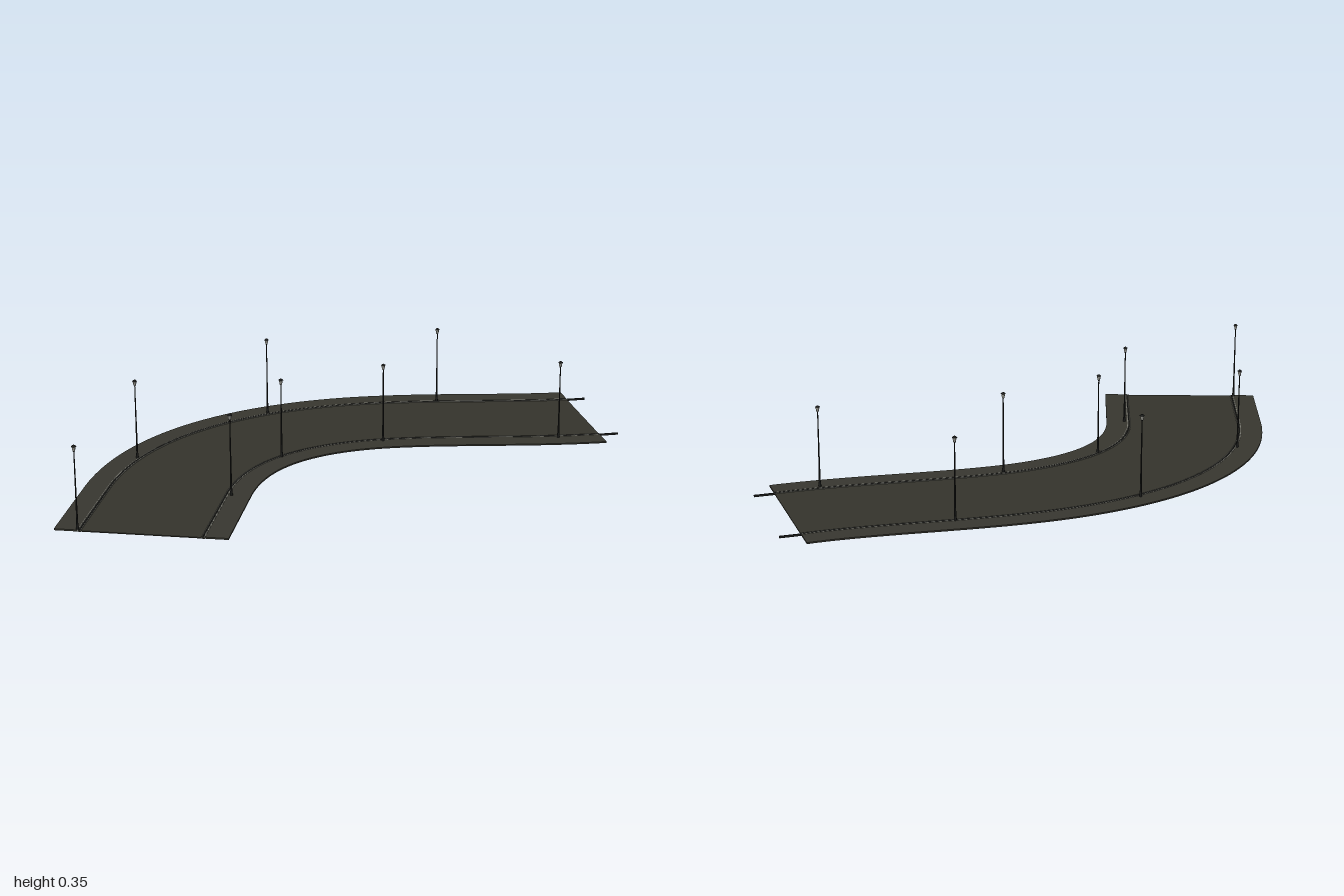
import * as THREE from 'three';
import { toCreasedNormals } from 'three/addons/utils/BufferGeometryUtils.js';

const mat = (name, color, side = THREE.FrontSide) => {
  const m = new THREE.MeshStandardMaterial({ color, side });
  m.name = name;
  return m;
};

// Centre line: straight, wide bend, then a gentle S
function makeFrames(count) {
  const v = (x, z) => new THREE.Vector3(x, 0, z);
  const path = new THREE.CurvePath();
  path.add(new THREE.LineCurve3(v(-0.675, 0.92), v(-0.675, 0.5)));
  path.add(new THREE.CubicBezierCurve3(v(-0.675, 0.5), v(-0.675, -0.1), v(-0.237, -0.322), v(-0.03, -0.397)));
  path.add(new THREE.CubicBezierCurve3(v(-0.03, -0.397), v(0.252, -0.499), v(0.568, -0.523), v(0.85, -0.625)));
  const up = new THREE.Vector3(0, 1, 0);
  const frames = [];
  for (let i = 0; i <= count; i++) {
    const u = i / count;
    const p = path.getPointAt(u);
    const t = path.getTangentAt(u).normalize();
    p.y = 0.002 + 0.012 * Math.sin(Math.PI * u); // low crest half way
    frames.push({ p, t, r: new THREE.Vector3().crossVectors(t, up) });
  }
  return frames;
}

// Sweeps a rectangle (offsets a..b across, heights lo..hi) along the frames
function sweep(frames, a, b, lo, hi) {
  const profile = [[a, lo], [b, lo], [b, hi], [a, hi]];
  const pos = [], idx = [];
  for (const { p, r } of frames)
    for (const [o, h] of profile) pos.push(p.x + r.x * o, p.y + h, p.z + r.z * o);
  for (let i = 0; i < frames.length - 1; i++)
    for (let j = 0; j < 4; j++) {
      const k = (j + 1) % 4, m = i * 4, n = m + 4;
      idx.push(m + j, n + j, n + k, m + j, n + k, m + k);
    }
  const e = (frames.length - 1) * 4;
  idx.push(0, 1, 2, 0, 2, 3, e, e + 2, e + 1, e, e + 3, e + 2);
  const g = new THREE.BufferGeometry();
  g.setAttribute('position', new THREE.Float32BufferAttribute(pos, 3));
  g.setIndex(idx);
  return toCreasedNormals(g, 0.5);
}

export function createModel() {
  const group = new THREE.Group();
  const asphalt = mat('asphalt', 0x34332b);
  const paving = mat('paving', 0x37362f);
  const stone = mat('kerbStone', 0x77776f);
  const iron = mat('iron', 0x1c1d1c);
  const glass = mat('lampGlass', 0x9a9a92);

  const add = (parent, name, geometry, material, y = 0) => {
    const m = new THREE.Mesh(geometry, material);
    m.name = name;
    m.position.y = y;
    parent.add(m);
    return m;
  };

  const frames = makeFrames(72);
  const last = frames[frames.length - 1];
  const tip = { ...last, p: last.p.clone().addScaledVector(last.t, 0.08) };
  const longFrames = [...frames, tip];

  // Roadway, pavements and kerbs
  add(group, 'roadway', sweep(frames, -0.23, 0.23, 0, 0.004), asphalt);
  for (const [side, s] of [['outer', -1], ['inner', 1]]) {
    const strip = (list, a, b, lo, hi) => sweep(list, Math.min(a * s, b * s), Math.max(a * s, b * s), lo, hi);
    add(group, side + 'Pavement', strip(frames, 0.23, 0.325, 0, 0.006), paving);
    add(group, side + 'KerbCore', strip(longFrames, 0.2285, 0.2325, -0.002, 0.0065), iron);
    add(group, side + 'KerbRoadEdge', strip(frames, 0.2235, 0.2265, -0.0005, 0.0072), stone);
    add(group, side + 'KerbPavementEdge', strip(frames, 0.2345, 0.2375, -0.0005, 0.0072), stone);
  }

  // Street lamps on both pavements
  const geo = {
    foot: new THREE.CylinderGeometry(0.0045, 0.006, 0.02, 8),
    lower: new THREE.CylinderGeometry(0.003, 0.004, 0.1, 8),
    upper: new THREE.CylinderGeometry(0.002, 0.003, 0.2, 8),
    collar: new THREE.CylinderGeometry(0.005, 0.003, 0.004, 8),
    glass: new THREE.CylinderGeometry(0.008, 0.005, 0.016, 6),
    cap: new THREE.CylinderGeometry(0.003, 0.0105, 0.006, 6),
  };
  const spots = [
    [-0.913, 0.912], [-0.876, 0.17], [-0.467, -0.443], [0.22, -0.71],
    [-0.425, 0.51], [-0.31, 0.08], [0.062, -0.17], [0.763, -0.336],
  ];
  for (const [x, z] of spots) {
    const d = (f) => Math.hypot(f.p.x - x, f.p.z - z);
    const near = frames.reduce((a, b) => (d(b) < d(a) ? b : a));
    const lamp = new THREE.Group();
    lamp.name = 'streetLamp';
    lamp.position.set(x, near.p.y + 0.005, z);
    lamp.rotation.y = Math.atan2(near.t.x, near.t.z);
    add(lamp, 'lampFoot', geo.foot, iron, 0.01);
    add(lamp, 'lowerPole', geo.lower, iron, 0.06);
    add(lamp, 'upperPole', geo.upper, iron, 0.205);
    add(lamp, 'lampCollar', geo.collar, iron, 0.303);
    add(lamp, 'lampGlass', geo.glass, glass, 0.313);
    add(lamp, 'lampCap', geo.cap, iron, 0.324);
    group.add(lamp);
  }
  return group;
}
